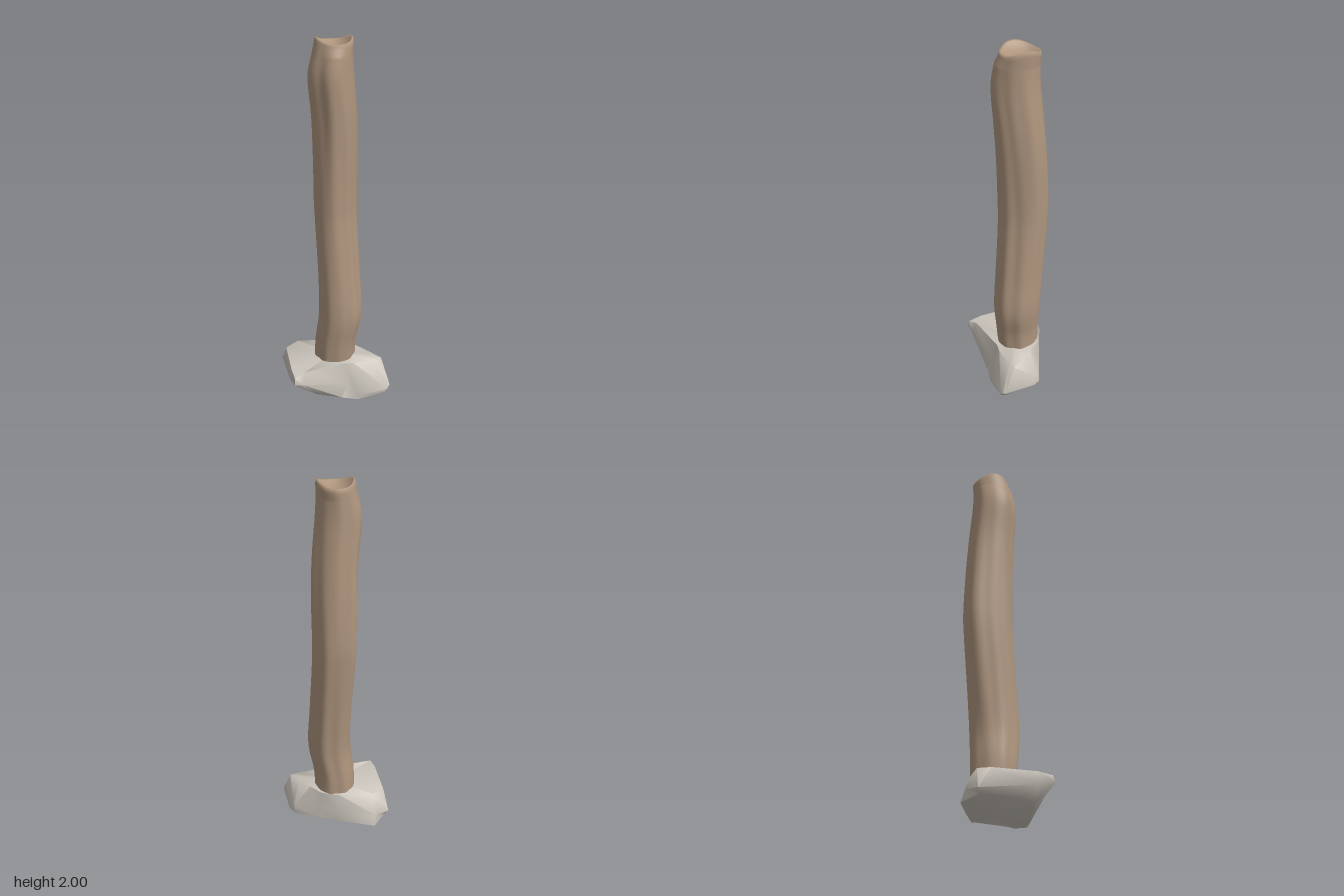
import * as THREE from 'three';
import { toCreasedNormals } from 'three/addons/utils/BufferGeometryUtils.js';

const V = (x, y, z) => new THREE.Vector3(x, y, z);

// Skin a stack of closed rings (bottom to top) and close both ends
function loft(rings, bottomCentre, topCentre) {
  const n = rings[0].length, last = (rings.length - 1) * n;
  const points = [...rings.flat(), bottomCentre, topCentre];
  const index = [];
  for (let j = 0; j < n; j++) {
    const k = (j + 1) % n;
    for (let i = 0; i < last; i += n) {
      index.push(i + j, i + n + k, i + k, i + j, i + n + j, i + n + k);
    }
    index.push(last + n, j, k, last + n + 1, last + k, last + j);
  }
  const geometry = new THREE.BufferGeometry().setFromPoints(points);
  geometry.setIndex(index);
  geometry.computeVertexNormals();
  return geometry;
}

// Rough stone: each row is one corner column (bottom, middle, top)
function stoneGeometry() {
  const columns = [
    [-0.262, 0.06, -0.165, -0.28, 0.085, -0.175, -0.265, 0.19, -0.105],
    [-0.185, 0.03, -0.228, -0.195, 0.09, -0.21, -0.19, 0.2, -0.15],
    [0.01, 0.028, -0.135, 0.01, 0.1, -0.135, 0.0, 0.2, -0.125],
    [0.11, 0.03, -0.087, 0.11, 0.1, -0.087, 0.1, 0.2, -0.08],
    [0.243, 0.037, -0.025, 0.245, 0.085, -0.02, 0.15, 0.2, -0.01],
    [0.27, 0.045, 0.015, 0.25, 0.1, 0.005, 0.2, 0.2, 0.06],
    [0.27, 0.035, 0.19, 0.28, 0.06, 0.2, 0.245, 0.2, 0.13],
    [0.25, 0.025, 0.215, 0.26, 0.05, 0.222, 0.2, 0.2, 0.142],
    [0.09, 0, 0.22, 0.09, 0.025, 0.222, 0.08, 0.2, 0.155],
    [0.0, 0.015, 0.205, 0.04, 0.08, 0.18, 0.03, 0.2, 0.147],
    [-0.14, 0.025, 0.155, -0.22, 0.135, 0.215, -0.21, 0.197, 0.185],
    [-0.2, 0.055, 0.13, -0.267, 0.145, 0.222, -0.265, 0.18, 0.21],
    [-0.24, 0.06, 0.05, -0.28, 0.125, 0.13, -0.272, 0.19, 0.13],
  ];
  const rings = [0, 3, 6].map((o) => columns.map((c) => V(c[o], c[o + 1], c[o + 2])));
  return toCreasedNormals(loft(rings, V(0.03, 0.02, 0), V(0, 0.2, 0.02)), 1.1);
}

// Crooked trunk with shallow lengthwise ridges and a hollowed saddle top
function postGeometry() {
  const segments = 54, steps = 44;
  // height, x range, z range, then swelling on the four diagonals
  const sections = [
    [0.17, -0.112, 0.112, -0.112, 0.122, 0, 0, 0, 0],
    [0.3, -0.108, 0.118, -0.11, 0.134, 0, 0, 0, 0],
    [0.47, -0.088, 0.147, -0.107, 0.15, 0, 0.005, 0.005, 0],
    [0.7, -0.086, 0.141, -0.123, 0.133, -0.008, 0.01, 0.012, 0],
    [1.0, -0.096, 0.131, -0.15, 0.108, -0.015, 0.013, 0.018, 0],
    [1.15, -0.1, 0.129, -0.157, 0.105, -0.016, 0.013, 0.019, 0],
    [1.4, -0.107, 0.13, -0.147, 0.111, -0.016, 0.006, 0.014, 0],
    [1.6, -0.117, 0.121, -0.133, 0.122, -0.016, -0.004, 0.008, 0],
    [1.8, -0.136, 0.102, -0.118, 0.13, -0.015, -0.012, 0.004, 0.003],
    [1.92, -0.112, 0.096, -0.115, 0.114, -0.006, -0.006, 0, 0],
  ];
  const curves = [1, 2, 3, 4, 5, 6, 7, 8].map((c) =>
    new THREE.SplineCurve(sections.map((s) => new THREE.Vector2(s[0], s[c]))));
  const angles = Array.from({ length: segments }, (_, j) => (j / segments) * Math.PI * 2);
  // Ridges fade towards the rim
  const ridge = (a, y) => 1 + Math.min(1, (2.1 - y) / 0.4)
    * (0.022 * Math.sin(6 * a + 1.4 * y + 0.6) + 0.018 * Math.sin(9 * a - 2 * y));

  const rings = [];
  for (let i = 0; i <= steps; i++) {
    const samples = curves.map((c) => c.getPoint(i / steps));
    const y = samples[0].x;
    const [x0, x1, z0, z1, ...swell] = samples.map((p) => p.y);
    rings.push(angles.map((t) => {
      const bulge = swell[Math.floor(t / (Math.PI / 2))] * Math.sin(2 * t) ** 2;
      const r = ridge(t, y);
      return V(
        (x0 + x1) / 2 + ((x1 - x0) / 2 * r + bulge) * Math.cos(t),
        y,
        (z0 + z1) / 2 + ((z1 - z0) / 2 * r + bulge) * Math.sin(t));
    }));
  }
  // Rounded rim, then the hollow: radius scale, height below the rim
  const rim = [[1, 0.024], [0.98, 0.01], [0.93, 0], [0.86, 0.002], [0.76, 0.009], [0.6, 0.016], [0.4, 0.02], [0.2, 0.022]];
  for (const [s, drop] of rim) {
    rings.push(angles.map((t) => V(
      0.1 * s * Math.cos(t) * ridge(t, 1.97),
      1.972 + 0.028 * Math.abs(Math.cos(t)) ** 3 * Math.min(1, s * s * 1.16) - drop,
      -0.01 + 0.107 * s * Math.sin(t) * ridge(t, 1.97))));
  }
  return loft(rings, V(0, 0.17, 0), V(0, 1.95, -0.01));
}

export function createModel() {
  const group = new THREE.Group();
  const add = (name, geometry, color) => {
    const mesh = new THREE.Mesh(geometry, new THREE.MeshStandardMaterial({ color }));
    mesh.name = name;
    group.add(mesh);
  };
  add('stoneBase', stoneGeometry(), 0xcac4bb);
  add('woodenPost', postGeometry(), 0xae957e);
  return group;
}
